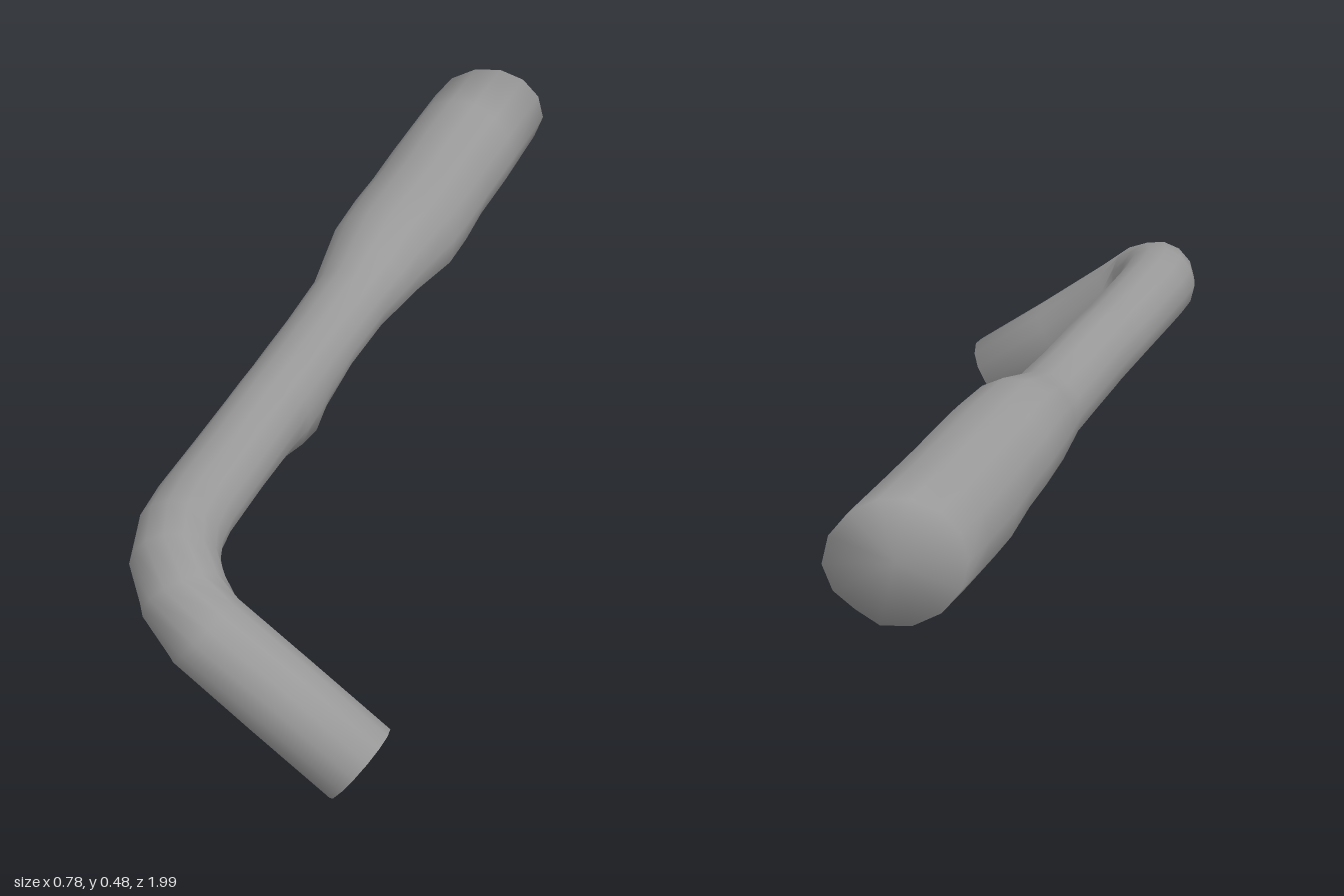
import * as THREE from 'three';

const SIDES = 14;

// Stations along the bar: centre x, y, z, sideways radius, vertical radius
const STATIONS = [
  [0.26, 0.357, -1, 0.122, 0.124],
  [0.206, 0.355, -0.85, 0.122, 0.126],
  [0.153, 0.354, -0.7, 0.121, 0.128],
  [0.114, 0.362, -0.58, 0.119, 0.118],
  [0.078, 0.367, -0.48, 0.118, 0.114],
  [0.034, 0.371, -0.36, 0.110, 0.109],
  [0.005, 0.363, -0.28, 0.097, 0.095],
  [-0.024, 0.357, -0.2, 0.084, 0.081],
  [-0.077, 0.357, -0.05, 0.080, 0.080],
  [-0.116, 0.359, 0.06, 0.079, 0.080],
  [-0.136, 0.36, 0.12, 0.079, 0.080],
  [-0.158, 0.361, 0.18, 0.079, 0.080],
  [-0.179, 0.361, 0.24, 0.079, 0.080],
  [-0.232, 0.362, 0.39, 0.080, 0.080],
  [-0.285, 0.364, 0.54, 0.081, 0.082],
  [-0.306, 0.363, 0.62, 0.084, 0.084],
  [-0.31, 0.352, 0.69, 0.086, 0.086],
  [-0.288, 0.325, 0.76, 0.086, 0.086],
  [-0.245, 0.281, 0.805, 0.086, 0.086],
  [-0.1, 0.169, 0.857, 0.086, 0.086],
  [0.047, 0.06, 0.914, 0.086, 0.086],
];

// Small lumps and dents on the lower left flank: z, angle, height, half length
const LUMPS = [
  [0.1, -0.95, 0.035, 0.05],
  [0.2, -0.85, 0.028, 0.04],
  [-0.52, -0.35, 0.018, 0.06],
  [-0.7, -0.9, -0.014, 0.06],
  [-0.98, -0.8, -0.014, 0.15],
];

function lump(z, angle) {
  let sum = 0;
  for (const [lz, la, height, length] of LUMPS) {
    const da = Math.atan2(Math.sin(angle - la), Math.cos(angle - la));
    sum += height * Math.exp(-(((z - lz) / length) ** 2) - (da / 0.4) ** 2);
  }
  return sum;
}

// Closed tube with rings that follow the bend and change in radius
function sweptBar() {
  const up = new THREE.Vector3(0, 1, 0);
  const centres = STATIONS.map(([x, y, z]) => new THREE.Vector3(x, y, z));
  const last = centres.length - 1;
  const positions = [];
  const index = [];

  centres.forEach((c, i) => {
    const t = centres[Math.min(i + 1, last)].clone().sub(centres[Math.max(i - 1, 0)]).normalize();
    const u = new THREE.Vector3().crossVectors(up, t).normalize();
    const v = new THREE.Vector3().crossVectors(t, u);
    // The thick end is cut square to z
    if (i === 0) {
      u.set(1 / u.x, 0, 0);
      v.set(0, 1, 0);
    }
    const [, , z, ru, rv] = STATIONS[i];
    for (let j = 0; j < SIDES; j++) {
      const a = (j / SIDES) * Math.PI * 2;
      const k = lump(z, a);
      const p = c.clone()
        .addScaledVector(u, Math.cos(a) * (ru + k))
        .addScaledVector(v, Math.sin(a) * (rv + k));
      // The short leg rests flat on the floor at its tip
      positions.push(p.x, Math.max(p.y, 0), p.z);
    }
  });

  for (let i = 0; i < last; i++) {
    for (let j = 0; j < SIDES; j++) {
      const a = i * SIDES + j;
      const b = i * SIDES + ((j + 1) % SIDES);
      index.push(a, b, a + SIDES, b, b + SIDES, a + SIDES);
    }
  }

  // End caps share the rim so the shading stays soft
  const startCentre = positions.length / 3;
  positions.push(...centres[0].toArray(), ...centres[last].toArray());
  for (let j = 0; j < SIDES; j++) {
    const n = (j + 1) % SIDES;
    index.push(startCentre, n, j);
    index.push(startCentre + 1, last * SIDES + j, last * SIDES + n);
  }

  const geometry = new THREE.BufferGeometry();
  geometry.setAttribute('position', new THREE.Float32BufferAttribute(positions, 3));
  geometry.setIndex(index);
  geometry.computeVertexNormals();
  return geometry;
}

export function createModel() {
  const group = new THREE.Group();
  group.name = 'bentBar';
  const bar = new THREE.Mesh(sweptBar(), new THREE.MeshStandardMaterial({ color: 0x999999 }));
  bar.name = 'barWithThickHandle';
  group.add(bar);
  return group;
}
